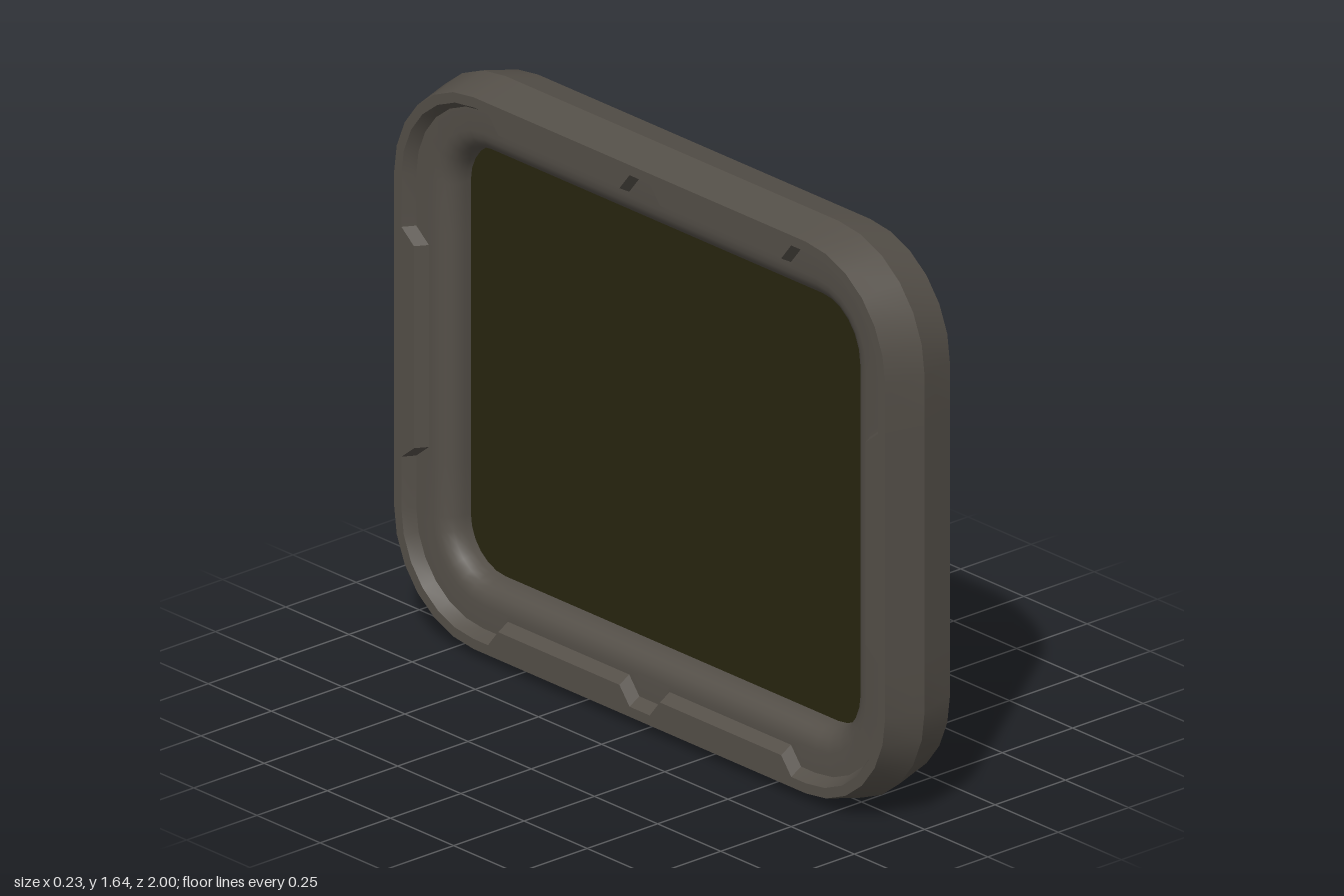
import * as THREE from 'three';
import { toCreasedNormals } from 'three/addons/utils/BufferGeometryUtils.js';

const HALF_Z = 1, HALF_Y = 0.82, CORNER_STEPS = 6;

// Points along one straight edge: [position, how far the notch applies]
const LONG_EDGE = [[0.6, 0], [0.56, 1], [0.08, 1], [0.04, 0], [-0.04, 0], [-0.08, 1], [-0.56, 1], [-0.6, 0]];
const SHORT_EDGE = [[0.33, 0], [0.29, 1], [-0.29, 1], [-0.33, 0]];

// Rounded rectangle as [z, y] points; notch pushes parts of the edges inward
function ring(inset, radius, notch = 0) {
  const hz = HALF_Z - inset, hy = HALF_Y - inset, points = [];
  for (let k = 0; k < 4; k++) {
    const sz = k === 0 || k === 3 ? 1 : -1, sy = k < 2 ? 1 : -1;
    for (let i = 0; i <= CORNER_STEPS; i++) {
      const a = (k + i / CORNER_STEPS) * Math.PI / 2;
      points.push([sz * (hz - radius) + radius * Math.cos(a), sy * (hy - radius) + radius * Math.sin(a)]);
    }
    const long = k % 2 === 0, side = k < 2 ? 1 : -1;
    for (const [p, n] of long ? LONG_EDGE : SHORT_EDGE) {
      points.push(long ? [side * p, side * (hy - n * notch)] : [-side * (hz - n * notch), side * p]);
    }
  }
  return points;
}

// Closed skin through rings of equal point count
function loft(rings) {
  const count = rings[0].length, index = [];
  for (let i = 0; i < rings.length; i++) {
    const next = (i + 1) % rings.length;
    for (let j = 0; j < count; j++) {
      const a = i * count + j, b = next * count + j;
      const c = i * count + (j + 1) % count, d = next * count + (j + 1) % count;
      index.push(a, b, c, c, b, d);
    }
  }
  const geometry = new THREE.BufferGeometry();
  geometry.setAttribute('position', new THREE.Float32BufferAttribute(rings.flat(2), 3));
  geometry.setIndex(index);
  return toCreasedNormals(geometry, 0.42);
}

function createFrameGeometry() {
  // Half section: [x, inset, corner radius, notch]
  const section = [
    [0, 0, 0.34, 0],
    [0.115, 0.028, 0.315, 0],
    [0.115, 0.057, 0.285, 0.05],
    [0.08, 0.077, 0.265, 0.05],
  ];
  // Rounded lip rolling down to the pane
  for (let i = 0; i <= 5; i++) {
    const a = i / 5 * Math.PI / 2;
    const inset = 0.142 + 0.062 * Math.sin(a);
    section.push([0.02 + 0.06 * Math.cos(a), inset, 0.2 - (inset - 0.142), 0]);
  }
  section.push([0, 0.204, 0.138, 0]);
  // Mirror the section to the other face, sharing the ends at x = 0
  const mirrored = section.slice(1, -1).reverse().map(([x, ...rest]) => [-x, ...rest]);
  return loft([...section, ...mirrored].map(([x, inset, radius, notch]) =>
    ring(inset, radius, notch).map(([z, y]) => [x, y + HALF_Y, z])));
}

export function createModel() {
  const model = new THREE.Group();
  model.name = 'framedWindow';

  const frameMaterial = new THREE.MeshStandardMaterial({ color: 0x544f48 });
  frameMaterial.name = 'warm grey metal';
  const paneMaterial = new THREE.MeshStandardMaterial({ color: 0x282610, side: THREE.DoubleSide });
  paneMaterial.name = 'dark olive glass';

  const frame = new THREE.Mesh(createFrameGeometry(), frameMaterial);
  frame.name = 'frame';

  // Pane on the centre plane, tucked slightly into the lip
  const outline = new THREE.Shape(ring(0.2, 0.14).map(([z, y]) => new THREE.Vector2(z, y)));
  const pane = new THREE.Mesh(new THREE.ShapeGeometry(outline).rotateY(-Math.PI / 2), paneMaterial);
  pane.position.y = HALF_Y;
  pane.name = 'pane';

  model.add(frame, pane);
  return model;
}
